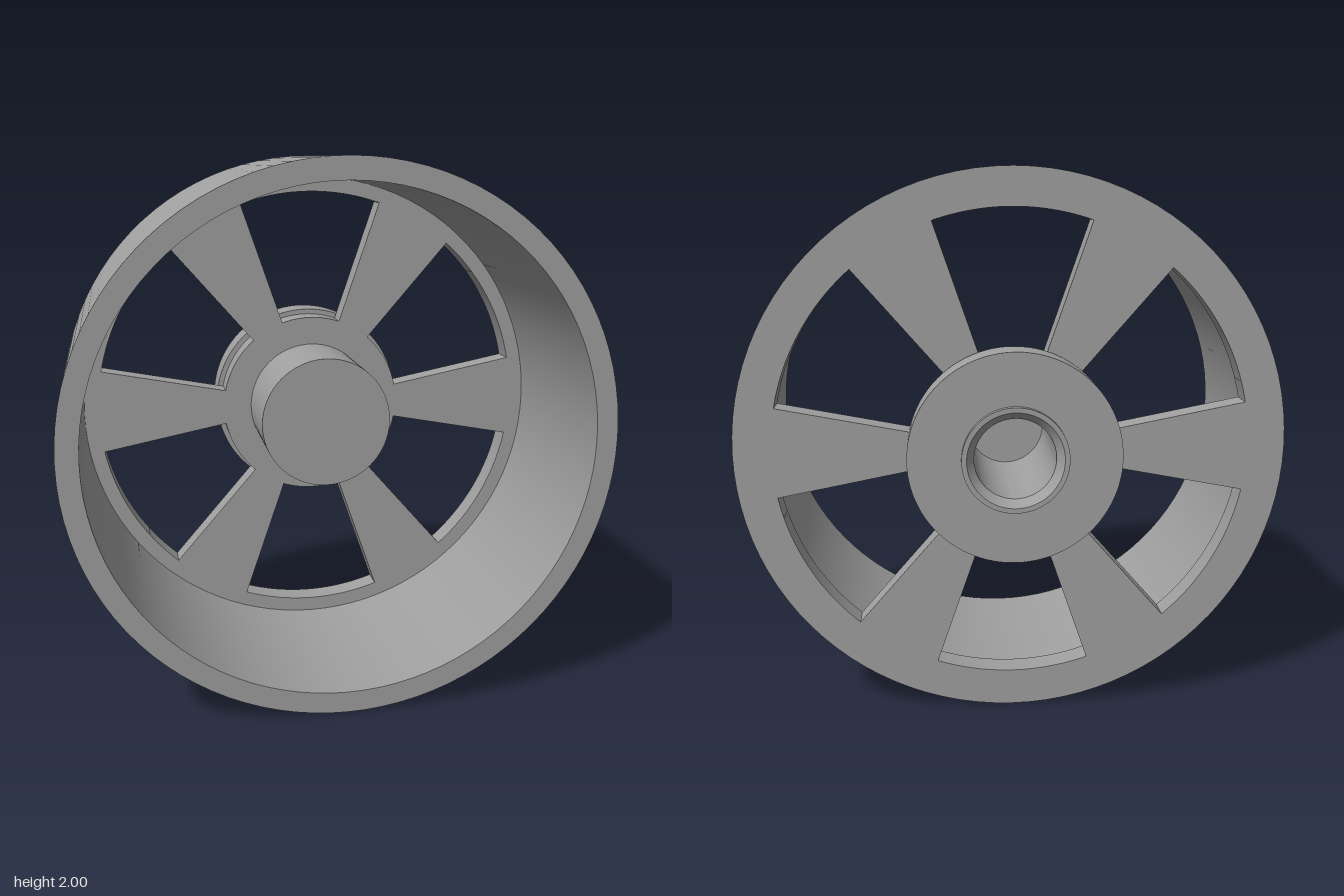
import * as THREE from 'three';
import { toCreasedNormals } from 'three/addons/utils/BufferGeometryUtils.js';

const SEGMENTS = 96;
const RIM_FRONT = 0.506, WEB_FRONT = -0.25, WEB_BACK = -0.345;

// Turned part about the z axis; points are [radius, z], outer side running towards +z
function turned(points) {
  const lathe = new THREE.LatheGeometry(points.map(([r, z]) => new THREE.Vector2(r, z)), SEGMENTS);
  lathe.rotateX(Math.PI / 2);
  return toCreasedNormals(lathe, 0.4);
}

// Flat disc with six wedge windows between the spokes
function spokedWeb() {
  const disc = new THREE.Shape().absarc(0, 0, 0.92, 0, Math.PI * 2, false);
  const half = THREE.MathUtils.degToRad(19);
  for (let i = 0; i < 6; i++) {
    const mid = Math.PI / 6 + i * Math.PI / 3;
    const wedge = new THREE.Path();
    wedge.absarc(0, 0, 0.863, mid - half, mid + half, false);
    wedge.absarc(0, 0, 0.36, mid + half, mid - half, true);
    wedge.closePath();
    disc.holes.push(wedge);
  }
  disc.holes.push(new THREE.Path().absarc(0, 0, 0.24, 0, Math.PI * 2, true));
  const web = new THREE.ExtrudeGeometry(disc, {
    depth: WEB_FRONT - WEB_BACK, bevelEnabled: false, curveSegments: 48,
  });
  web.translate(0, 0, WEB_BACK);
  return toCreasedNormals(web, 0.4);
}

export function createModel() {
  const model = new THREE.Group();
  model.name = 'wheel';
  const grey = new THREE.MeshStandardMaterial({ color: 0xa0a0a0 });
  grey.name = 'plain grey';

  const add = (name, geometry) => {
    const mesh = new THREE.Mesh(geometry, grey);
    mesh.name = name;
    mesh.position.y = 1;
    model.add(mesh);
  };

  // Wide rim, open towards the front
  add('rim', turned([
    [0.92, WEB_BACK], [1, WEB_BACK], [1, RIM_FRONT], [0.92, RIM_FRONT], [0.92, WEB_BACK],
  ]));

  add('spokes', spokedWeb());

  // Hub: closed front, rear collar and boss, blind bore with a chamfered mouth
  add('hub', turned([
    [0, 0.03], [0.145, 0.03], [0.145, -0.475], [0.172, -0.506],
    [0.19, -0.506], [0.19, -0.485], [0.38, -0.485], [0.38, -0.356],
    [0.36, -0.356], [0.36, WEB_BACK], [0.25, WEB_BACK], [0.25, 0.09], [0, 0.09],
  ]));

  return model;
}
